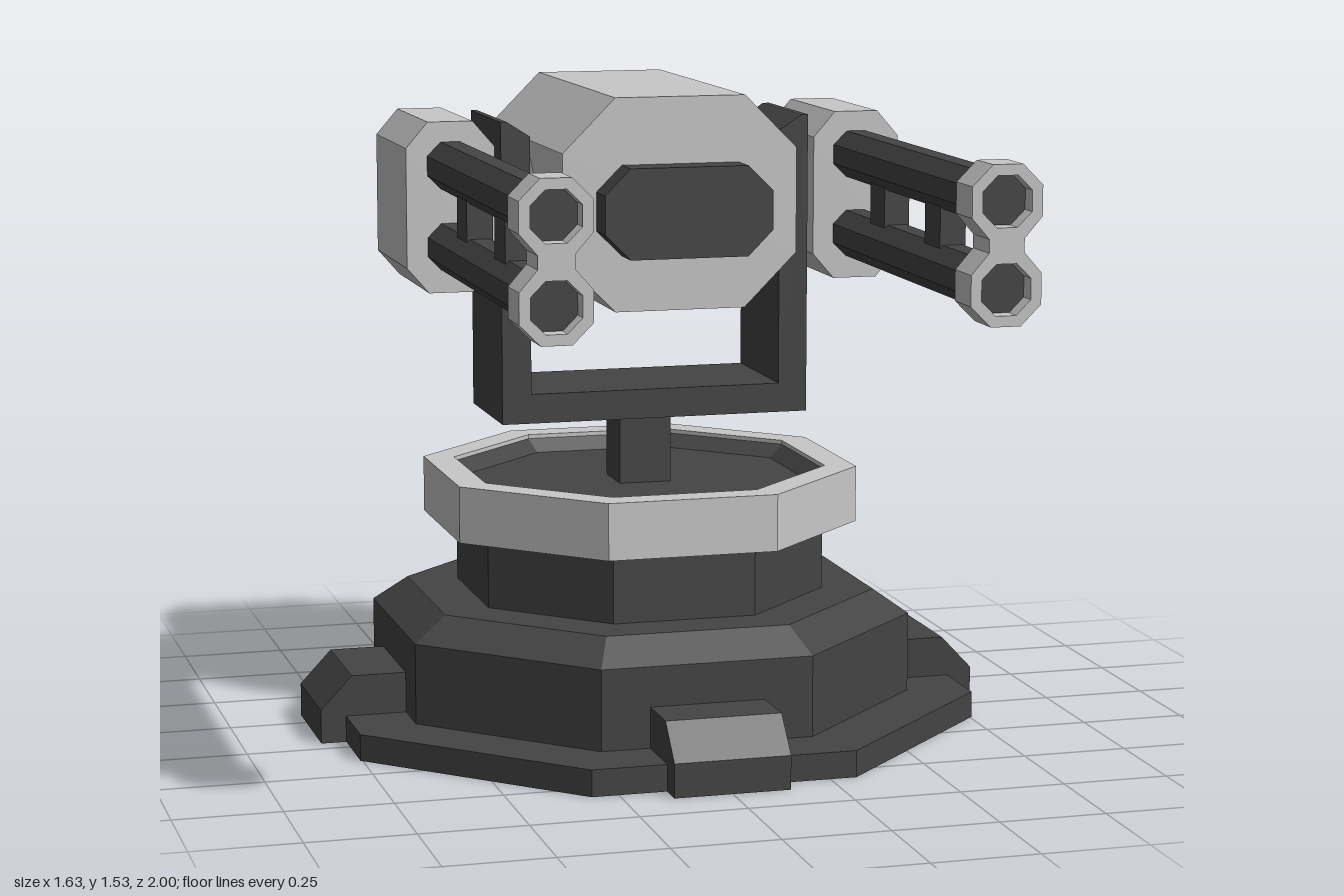
import * as THREE from 'three';

const light = new THREE.MeshStandardMaterial({ color: 0xc8c8c8 });
light.name = 'light grey';
const dark = new THREE.MeshStandardMaterial({ color: 0x444444 });
dark.name = 'dark grey';

const AXIS_Z = -0.185; // vertical axis of the pedestal
const K = 1 / Math.cos(Math.PI / 8); // octagon: flat distance to corner distance

function add(parent, name, geometry, material) {
  const flat = geometry.index ? geometry.toNonIndexed() : geometry;
  flat.computeVertexNormals();
  const mesh = new THREE.Mesh(flat, material);
  mesh.name = name;
  parent.add(mesh);
  return mesh;
}

// Front outline [x, y] extruded from z0 to z1
function prism(points, z0, z1, holes = []) {
  const toVec = (p) => new THREE.Vector2(p[0], p[1]);
  const shape = new THREE.Shape(points.map(toVec));
  for (const h of holes) shape.holes.push(new THREE.Path(h.map(toVec)));
  const g = new THREE.ExtrudeGeometry(shape, { depth: z1 - z0, bevelEnabled: false });
  return g.translate(0, 0, z0);
}

// Eight-sided turned solid; profile is [flat distance, y] from bottom to top
function turned(profile) {
  const pts = profile.map(([r, y]) => new THREE.Vector2(r * K, y));
  return new THREE.LatheGeometry(pts, 8, Math.PI / 8);
}

// Octagon outline with flat top
function octagon(cx, cy, r) {
  return Array.from({ length: 8 }, (_, i) => {
    const a = Math.PI / 8 + (i * Math.PI) / 4;
    return [cx + r * K * Math.cos(a), cy + r * K * Math.sin(a)];
  });
}

// Rectangle with chamfered corners
function chamfered(hw, y0, y1, cx, cy, x = 0) {
  return [
    [x - hw + cx, y0], [x + hw - cx, y0], [x + hw, y0 + cy], [x + hw, y1 - cy],
    [x + hw - cx, y1], [x - hw + cx, y1], [x - hw, y1 - cy], [x - hw, y0 + cy],
  ];
}

function box(x0, x1, y0, y1, z0, z1) {
  return new THREE.BoxGeometry(x1 - x0, y1 - y0, z1 - z0)
    .translate((x0 + x1) / 2, (y0 + y1) / 2, (z0 + z1) / 2);
}

function createPedestal() {
  const g = new THREE.Group();
  g.name = 'pedestal';
  g.position.z = AXIS_Z;
  add(g, 'basePlate', turned([[0, 0], [0.755, 0], [0.755, 0.063], [0, 0.063]]), dark);
  add(g, 'baseTier', turned([[0.61, 0.06], [0.61, 0.255], [0.53, 0.313], [0, 0.313]]), dark);
  add(g, 'neck', turned([[0.415, 0.31], [0.415, 0.485]]), dark);
  // Light collar around a shallow dark dish
  add(g, 'collar', turned([[0.4, 0.48], [0.49, 0.48], [0.49, 0.615], [0.42, 0.615], [0.42, 0.6]]), light);
  add(g, 'dish', turned([[0.42, 0.605], [0.385, 0.575], [0, 0.575]]), dark);
  // Four feet with sloped toes
  const foot = [[0.55, 0], [0.815, 0], [0.815, 0.08], [0.74, 0.16], [0.55, 0.16]];
  for (let i = 0; i < 4; i++) {
    add(g, 'foot', prism(foot, -0.137, 0.137), dark).rotation.y = (i * Math.PI) / 2;
  }
  return g;
}

function createYoke() {
  const g = new THREE.Group();
  g.name = 'yoke';
  add(g, 'post', box(-0.063, 0.063, 0.57, 0.755, -0.247, -0.12), dark);
  const right = [[-0.375, 0.75], [-0.375, 1.465], [-0.36, 1.465], [-0.305, 1.43], [-0.305, 0.82]];
  const left = right.map(([x, y]) => [-x, y]).reverse();
  add(g, 'fork', prism([...right, ...left], -0.338, -0.022), dark);
  const axle = new THREE.CylinderGeometry(0.105 * K, 0.105 * K, 0.84, 8)
    .rotateY(Math.PI / 8).rotateZ(Math.PI / 2).translate(0, 1.275, -0.18);
  add(g, 'axle', axle, dark);
  return g;
}

function createHead() {
  const g = new THREE.Group();
  g.name = 'head';
  const outline = chamfered(0.28, 1.04, 1.535, 0.125, 0.125);
  add(g, 'headFront', prism(outline, -0.05, 0.19), light);
  const upper = [[-0.28, 1.275], [0.28, 1.275], [0.28, 1.41], [0.155, 1.535], [-0.155, 1.535], [-0.28, 1.41]];
  add(g, 'headHood', prism(upper, -0.548, -0.05), light);
  const lower = [[-0.275, 1.275], [-0.275, 1.165], [-0.15, 1.04], [0.15, 1.04], [0.275, 1.165], [0.275, 1.275]];
  add(g, 'headUnderside', prism(lower, -0.47, -0.05), dark);
  add(g, 'sensor', prism(chamfered(0.2, 1.17, 1.38, 0.06, 0.06), 0.18, 0.27), dark);
  return g;
}

function createGun(side) {
  const g = new THREE.Group();
  g.name = side > 0 ? 'leftGun' : 'rightGun';
  const cx = side * 0.495;
  const levels = [1.178, 1.368];
  add(g, 'gunPod', prism(chamfered(0.105, 1.07, 1.47, 0.052, 0.06, cx), -0.372, -0.022), light);
  for (const y of levels) add(g, 'barrel', prism(octagon(cx, y, 0.055), -0.03, 0.96), dark);
  for (const z of [0.232, 0.612]) {
    add(g, 'barrelSpacer', box(cx - 0.03, cx + 0.03, 1.22, 1.33, z - 0.051, z + 0.051), dark);
  }
  // Pinched muzzle bracket holding both barrels
  const half = [[0.034, 1.098], [0.08, 1.144], [0.08, 1.212], [0.04, 1.258],
    [0.04, 1.288], [0.08, 1.334], [0.08, 1.402], [0.034, 1.448]];
  const outline = [
    ...half.map(([x, y]) => [cx + x, y]),
    ...half.map(([x, y]) => [cx - x, y]).reverse(),
  ];
  const holes = levels.map((y) => octagon(cx, y, 0.056));
  add(g, 'muzzle', prism(outline, 0.9, 1, holes), light);
  return g;
}

export function createModel() {
  const model = new THREE.Group();
  model.name = 'twinGunTurret';
  model.add(createPedestal(), createYoke(), createHead(), createGun(1), createGun(-1));
  return model;
}
